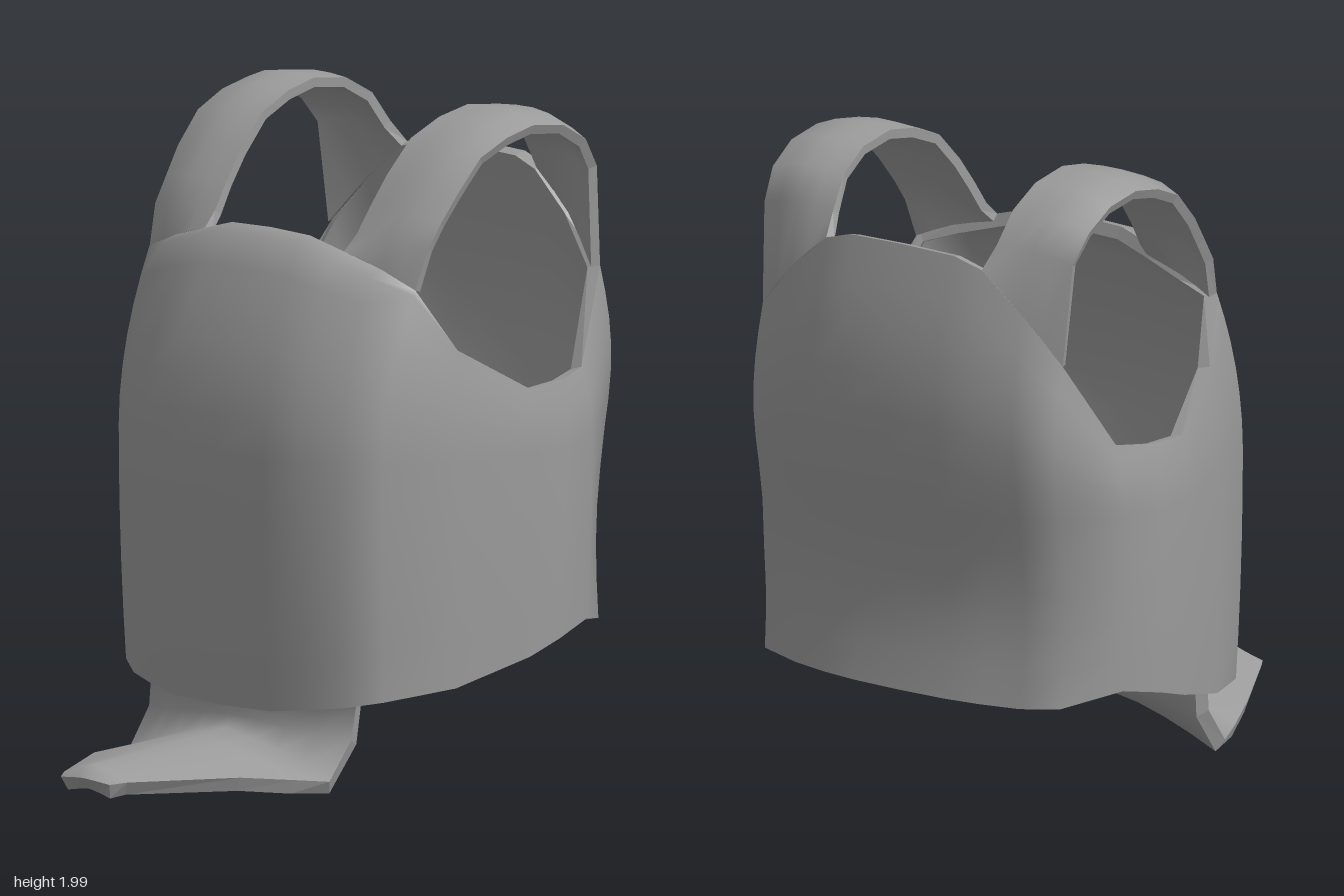
import * as THREE from 'three';
import { mergeGeometries } from 'three/addons/utils/BufferGeometryUtils.js';

const { lerp, clamp } = THREE.MathUtils;
const material = new THREE.MeshStandardMaterial({ color: 0x9c9c9c, side: THREE.DoubleSide });

function surface(points, index) {
  const g = new THREE.BufferGeometry();
  g.setAttribute('position', new THREE.Float32BufferAttribute(points.flatMap(p => p.toArray()), 3));
  g.setIndex(index);
  g.computeVertexNormals();
  return g;
}

// Thick sheet from a grid of points: smooth outer and inner skins, flat rim.
function shell(name, grid, closed, thickness) {
  const n = grid[0].length, outer = grid.flat(), index = [];
  for (let i = 0; i < grid.length - 1; i++) {
    for (let j = 0; j < (closed ? n : n - 1); j++) {
      const a = i * n + j, b = i * n + (j + 1) % n;
      index.push(a, b, b + n, a, b + n, a + n);
    }
  }
  const front = surface(outer, index);
  const normal = front.getAttribute('normal');
  const inner = outer.map((p, k) =>
    p.clone().addScaledVector(new THREE.Vector3().fromBufferAttribute(normal, k), -thickness));
  const back = surface(inner, [...index].reverse());

  // An edge used in only one direction lies on the border.
  const edges = new Map();
  for (let k = 0; k < index.length; k += 3) {
    for (let e = 0; e < 3; e++) {
      const a = index[k + e], b = index[k + (e + 1) % 3];
      if (!edges.delete(`${b},${a}`)) edges.set(`${a},${b}`, [a, b]);
    }
  }
  const rim = [];
  for (const [a, b] of edges.values()) {
    rim.push(outer[b], outer[a], inner[a], outer[b], inner[a], inner[b]);
  }
  const rimGeometry = surface(rim, rim.map((_, k) => k));
  const mesh = new THREE.Mesh(
    mergeGeometries([front, back, rimGeometry].map(g => g.toNonIndexed())), material);
  mesh.name = name;
  return mesh;
}

// Torso columns from front centre to back centre:
// bottom y, then x and z at mid height, then x, y, z at the top edge.
const columns = [
  [0.23, 0, 0.33, 0, 1.65, 0.135],
  [0.235, 0.2, 0.325, 0.16, 1.645, 0.135],
  [0.25, 0.32, 0.3, 0.285, 1.61, 0.12],
  [0.265, 0.44, 0.25, 0.42, 1.57, 0.09],
  [0.285, 0.54, 0.17, 0.545, 1.52, 0.03],
  [0.31, 0.63, -0.07, 0.605, 1.33, -0.09],
  [0.38, 0.695, -0.33, 0.675, 1.19, -0.33],
  [0.42, 0.698, -0.46, 0.675, 1.2, -0.47],
  [0.455, 0.665, -0.61, 0.63, 1.215, -0.6],
  [0.42, 0.55, -0.785, 0.55, 1.49, -0.765],
  [0.405, 0.42, -0.81, 0.42, 1.64, -0.8],
  [0.405, 0.29, -0.84, 0.285, 1.755, -0.81],
  [0.405, 0.17, -0.855, 0.19, 1.785, -0.82],
  [0.405, 0, -0.86, 0, 1.79, -0.825],
];

function torsoPoint([bottom, mx, mz, tx, ty, tz], v) {
  const backness = clamp((-mz - 0.6) / 0.25, 0, 1);
  const midY = 1;
  if (v < 0) {
    // lower half, hollowed at the small of the back
    const s = -v;
    return new THREE.Vector3(
      mx * (1 - 0.02 * s * s),
      lerp(midY, bottom, s),
      mz * (1 - (mz > 0 ? 0.12 : 0.02) * s * s) + 0.04 * backness * Math.sin(Math.PI * s));
  }
  // upper half, rounded over the shoulder blades, curled in at the chest's top edge
  const k = v ** 1.9;
  const curl = 0.055 * clamp((mz - 0.17) / 0.1, 0, 1) * clamp((v - 0.97) / 0.03, 0, 1);
  return new THREE.Vector3(lerp(mx, tx, k), lerp(midY, ty, v),
    lerp(mz, tz, k) - 0.045 * backness * Math.sin(Math.PI * v) - curl);
}

function makeTorso() {
  const levels = [-1, -0.8, -0.6, -0.4, -0.2, 0, 0.17, 0.34, 0.5, 0.67, 0.83, 0.97, 1];
  const grid = levels.map(v => {
    const half = columns.map(c => torsoPoint(c, v));
    const mirrored = half.slice(1, -1).reverse().map(p => new THREE.Vector3(-p.x, p.y, p.z));
    return [...half, ...mirrored];
  });
  return shell('torso', grid, true, 0.04);
}

// Shoulder strap: arch of [inner x, outer x, y, z] between chest and back edges.
const arch = [
  [0.29, 0.56, 1.66, 0.025], [0.295, 0.565, 1.74, -0.03], [0.3, 0.575, 1.83, -0.1],
  [0.305, 0.58, 1.93, -0.2], [0.31, 0.585, 1.98, -0.32], [0.315, 0.585, 2.003, -0.44],
  [0.315, 0.585, 1.985, -0.58], [0.31, 0.58, 1.925, -0.69], [0.3, 0.565, 1.83, -0.76],
];

function makeStrap(name, side) {
  const across = [0, 0.25, 0.5, 0.75, 1];
  const ends = ids => {
    const curve = new THREE.CatmullRomCurve3(ids.map(k => torsoPoint(columns[k], 1)));
    return across.map(u => curve.getPoint(u));
  };
  const grid = [
    ends([2, 3, 4]),
    ...arch.map(([xi, xo, y, z]) => across.map(u => {
      // edges fall away towards the middle of the arm opening
      const drop = 0.04 * u ** 4 + 0.01 * (1 - u) ** 3;
      const toCentre = new THREE.Vector2(-0.42 - z, 1.4 - y).normalize();
      return new THREE.Vector3(lerp(xi, xo, u), y + toCentre.y * drop, z + toCentre.x * drop);
    })),
    ends([11, 10, 9]),
  ];
  if (side < 0) {
    for (const row of grid) {
      row.reverse();
      row.forEach(p => { p.x *= -1; });
    }
  }
  return shell(name, grid, false, 0.03);
}

// Front flap from tip to waist: half width, centre y and z, edge y and z.
// The last row runs into the inside of the chest wall.
function makeFlap() {
  const rows = [
    [0.1, 0.09, 0.895, 0.08, 0.885],
    [0.13, 0.125, 0.85, 0.085, 0.84],
    [0.3, 0.145, 0.55, 0.08, 0.53],
    [0.37, 0.15, 0.38, 0.06, 0.37],
    [0.41, 0.16, 0.28, 0.045, 0.26],
    [0.415, 0.2, 0.26, 0.16, 0.17],
    [0.42, 0.26, 0.26, 0.26, 0.155],
    [0.42, 0.45, 0.3, 0.45, 0.225],
  ];
  const grid = rows.map(([w, yc, zc, ye, ze]) => Array.from({ length: 9 }, (_, j) => {
    const v = j / 4 - 1;
    return new THREE.Vector3(v * w, lerp(yc, ye, Math.abs(v) ** 1.4), lerp(zc, ze, v * v));
  }));
  return shell('frontFlap', grid, false, 0.045);
}

export function createModel() {
  const model = new THREE.Group();
  model.name = 'armourVest';
  model.add(makeTorso(), makeStrap('leftStrap', 1), makeStrap('rightStrap', -1), makeFlap());
  return model;
}
